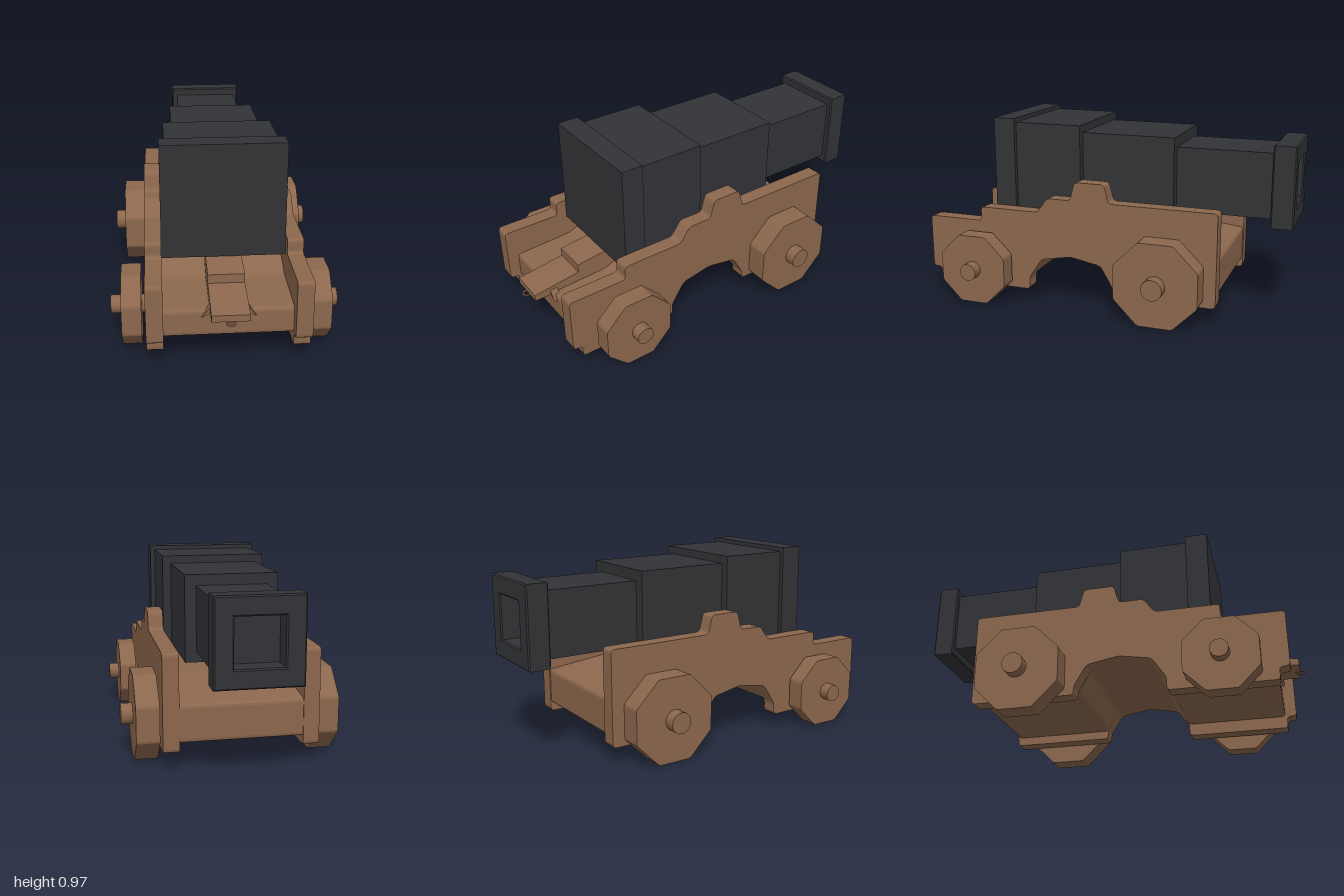
import * as THREE from 'three';
import { RoundedBoxGeometry } from 'three/addons/geometries/RoundedBoxGeometry.js';

const iron = new THREE.MeshStandardMaterial({ color: 0x323336 });
const wood = new THREE.MeshStandardMaterial({ color: 0x8c674d });

// Polygon with softly rounded corners
function roundedShape(points, r) {
  const shape = new THREE.Shape();
  const v = points.map(p => new THREE.Vector2(p[0], p[1]));
  v.forEach((p, i) => {
    const prev = v[(i + v.length - 1) % v.length], next = v[(i + 1) % v.length];
    const k = (q) => p.clone().lerp(q, Math.min(0.45, r / p.distanceTo(q)));
    const a = k(prev), b = k(next);
    if (i === 0) shape.moveTo(a.x, a.y); else shape.lineTo(a.x, a.y);
    shape.quadraticCurveTo(p.x, p.y, b.x, b.y);
  });
  shape.closePath();
  return shape;
}

// Side profile in (z, y), extruded across x and centred on x = 0
function sideExtrude(points, width, r = 0) {
  const shape = r ? roundedShape(points, r)
    : new THREE.Shape(points.map(p => new THREE.Vector2(p[0], p[1])));
  const geo = new THREE.ExtrudeGeometry(shape, { depth: width, bevelEnabled: false, curveSegments: 3 });
  return geo.translate(0, 0, -width / 2).rotateY(-Math.PI / 2);
}

export function createModel() {
  const model = new THREE.Group();
  model.name = 'cannon';
  const add = (name, geo, mat, x = 0, y = 0, z = 0, parent = model) => {
    const mesh = new THREE.Mesh(geo, mat);
    mesh.name = name;
    mesh.position.set(x, y, z);
    parent.add(mesh);
    return mesh;
  };

  // Barrel: square sections stepping down towards the muzzle
  const barrel = new THREE.Group();
  barrel.name = 'barrel';
  model.add(barrel);
  const sections = [
    ['breechRing', 0.305, 0.402, 0.975, 0.45, 0.565],
    ['barrelRear', 0.28, 0.43, 0.953, 0.09, 0.45],
    ['barrelMiddle', 0.235, 0.47, 0.912, -0.40, 0.09],
    ['barrelFront', 0.178, 0.525, 0.857, -0.89, -0.40],
  ];
  for (const [name, hx, y0, y1, z0, z1] of sections) {
    add(name, new THREE.BoxGeometry(hx * 2, y1 - y0, z1 - z0), iron, 0, (y0 + y1) / 2, (z0 + z1) / 2, barrel);
  }

  // Muzzle frame with a square bore
  const square = (h) => [[-h, -h], [h, -h], [h, h], [-h, h]];
  const frame = new THREE.Shape(square(0.2).map(p => new THREE.Vector2(...p)));
  frame.holes.push(new THREE.Path(square(0.122).reverse().map(p => new THREE.Vector2(...p))));
  add('muzzle', new THREE.ExtrudeGeometry(frame, {
    depth: 0.1, bevelThickness: 0.007, bevelSize: 0.007, bevelSegments: 1,
  }), iron, 0, 0.692, -0.993, barrel);

  // Stepped cheeks on both sides
  const cheek = [
    [0.93, 0.14], [0.93, 0.43], [0.62, 0.43], [0.62, 0.505], [0.29, 0.505], [0.235, 0.583],
    [0.105, 0.583], [0.08, 0.68], [-0.08, 0.68], [-0.105, 0.583], [-0.665, 0.583], [-0.665, 0.095],
    [-0.125, 0.095], [-0.125, 0.14], [-0.06, 0.25], [0.105, 0.28], [0.27, 0.25], [0.343, 0.14],
    [0.343, 0.075], [0.88, 0.075], [0.88, 0.14],
  ];
  for (const s of [1, -1]) {
    add(s > 0 ? 'leftCheek' : 'rightCheek', sideExtrude(cheek, 0.08, 0.02), wood, s * 0.345);
  }

  // Bed between the cheeks, arched underneath
  add('bed', sideExtrude([
    [0.87, 0.14], [0.87, 0.275], [0.56, 0.29], [0.3, 0.40], [-0.2, 0.38], [-0.66, 0.33],
    [-0.66, 0.14], [-0.12, 0.14], [-0.06, 0.25], [0.105, 0.28], [0.27, 0.25], [0.343, 0.14],
  ], 0.61, 0.02), wood);

  // Elevating wedge with flared feet and a pull ring
  const wedge = new THREE.Group();
  wedge.name = 'elevatingWedge';
  model.add(wedge);
  add('wedge', sideExtrude([
    [0.97, 0.267], [0.97, 0.30], [0.72, 0.335], [0.72, 0.38], [0.5, 0.405], [0.5, 0.267],
  ], 0.178), wood, 0, 0, 0, wedge);
  for (const s of [1, -1]) {
    const foot = new THREE.Shape([[0.085, 0.267], [0.127, 0.245], [0.085, 0.3]]
      .map(([x, y]) => new THREE.Vector2(s * x, y)));
    add('wedgeFoot', new THREE.ExtrudeGeometry(foot, { depth: 0.04, bevelEnabled: false }), wood, 0, 0, 0.845, wedge);
  }
  add('pullRing', new THREE.TorusGeometry(0.02, 0.005, 6, 14).rotateX(Math.PI / 2), wood, 0, 0.262, 0.975, wedge);

  // Octagonal wheels on round axles
  const axles = [
    ['front', 0.62, 0.19, 0.183, 0.405, 0.50, 0.045, 0.555],
    ['rear', -0.387, 0.22, 0.216, 0.39, 0.505, 0.054, 0.563],
  ];
  for (const [name, z, y, apothem, x0, x1, axleR, axleX] of axles) {
    const axle = new THREE.CylinderGeometry(axleR, axleR, axleX * 2, 20).rotateZ(Math.PI / 2);
    add(name + 'Axle', axle, wood, 0, y, z);
    const rim = [];
    for (let i = 0; i < 8; i++) {
      const a = (i + 0.5) * Math.PI / 4, r = apothem / Math.cos(Math.PI / 8);
      rim.push([Math.cos(a) * r, Math.sin(a) * r]);
    }
    for (const s of [1, -1]) {
      add(name + (s > 0 ? 'LeftWheel' : 'RightWheel'), sideExtrude(rim, x1 - x0, 0.012), wood, s * (x0 + x1) / 2, y, z);
    }
  }
  return model;
}
